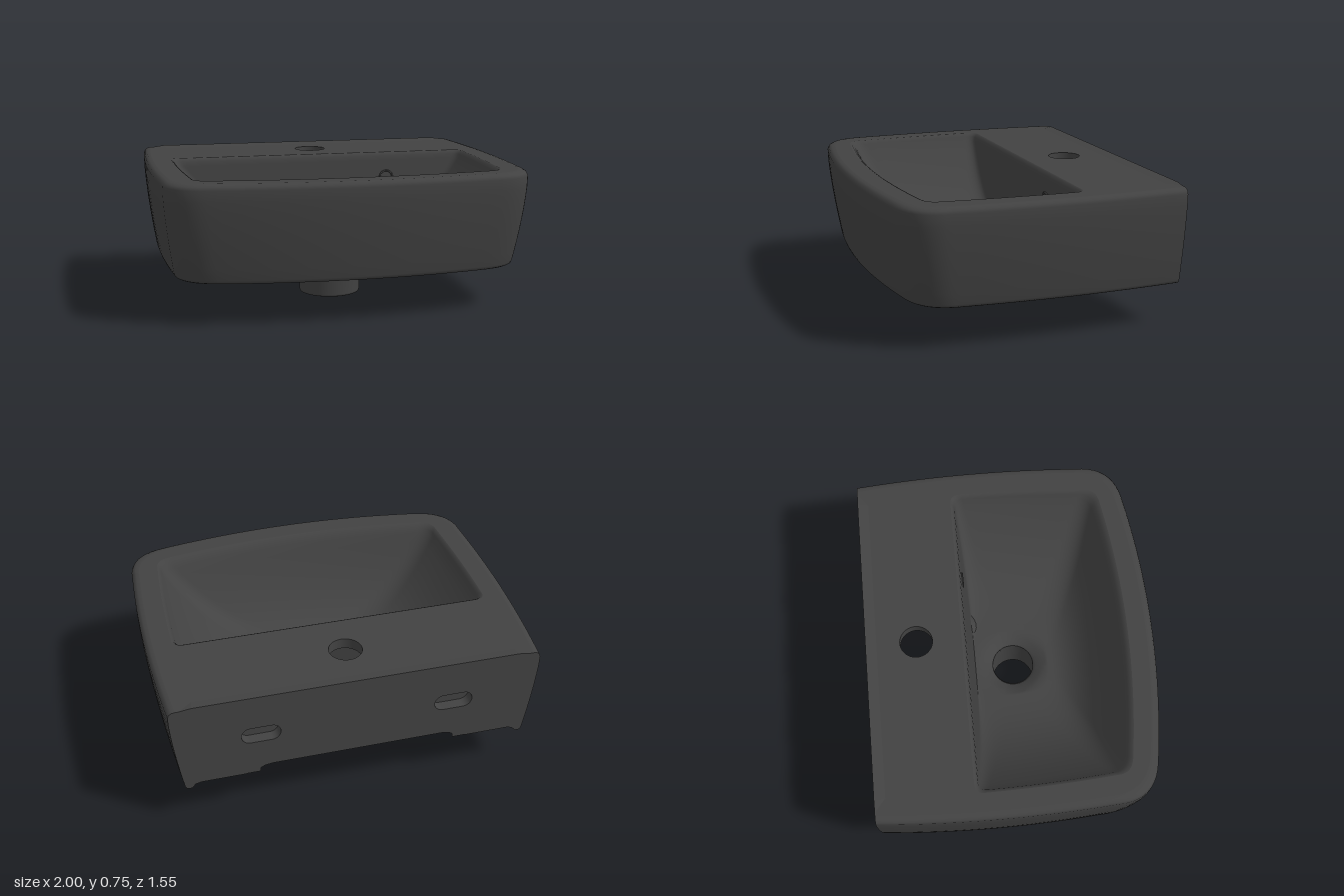
import * as THREE from 'three';
import { ConvexGeometry } from 'three/addons/geometries/ConvexGeometry.js';

const glaze = new THREE.MeshStandardMaterial({ color: 0x424242, side: THREE.DoubleSide });
glaze.name = 'dark glaze';

const DRAIN_Z = 0.02;

function part(group, name, geometry) {
  const mesh = new THREE.Mesh(geometry, glaze);
  mesh.name = name;
  group.add(mesh);
  return mesh;
}

// Plan outline (x, z): straight back, bowed sides, rounded front corners, bowed front.
// An open outline leaves out the back edge.
function outline({ wB, wM, wF, zb, zf, sag, rb, rf }, open = false) {
  const xe = wF - rf, ze = zf - sag, k = (2 * sag) / xe;
  const zc = ze - k * rf, zs = zc - rf;
  const path = new THREE.Path();
  path.moveTo(0, zb);
  path.lineTo(wB - rb, zb);
  path.quadraticCurveTo(wB, zb, wB, zb + rb);
  path.quadraticCurveTo(wM, (zb + rb + zs) / 2, wF, zs);
  path.quadraticCurveTo(wF, zc, xe, ze);
  path.quadraticCurveTo(xe / 2, zf, 0, zf);
  const counts = [8, 6, 12, 10, 12];
  const half = [];
  path.curves.forEach((c, i) => {
    if (open && i < 2) return;
    const pts = c.getPoints(counts[i]);
    half.push(...(half.length ? pts.slice(1) : pts));
  });
  const mirrored = half.slice(open ? 0 : 1, -1).reverse().map(p => new THREE.Vector2(-p.x, p.y));
  return [...half, ...mirrored];
}

const lift = (pts, y) => pts.map(p => new THREE.Vector3(p.x, y, p.y));

// Skin over a stack of rings with equal point counts.
function loft(rings, closed, flip = false) {
  const n = rings[0].length, index = [];
  for (let r = 0; r < rings.length - 1; r++) {
    for (let i = 0; i < (closed ? n : n - 1); i++) {
      const j = (i + 1) % n;
      const a = r * n + i, b = r * n + j, c = a + n, d = b + n;
      if (flip) index.push(a, b, c, b, d, c);
      else index.push(a, c, b, b, c, d);
    }
  }
  const g = new THREE.BufferGeometry().setFromPoints(rings.flat());
  g.setIndex(index);
  g.computeVertexNormals();
  return g;
}

// Horizontal plate with holes, its lower face at y.
function plate(pts, holes, y, depth) {
  const flat = list => list.map(p => new THREE.Vector2(p.x, -p.y));
  const shape = new THREE.Shape(flat(pts));
  holes.forEach(h => shape.holes.push(new THREE.Path(flat(h))));
  const g = new THREE.ExtrudeGeometry(shape, { depth, bevelEnabled: false });
  return g.rotateX(-Math.PI / 2).translate(0, y, 0);
}

const outer = (inset, open) => outline({
  wB: 0.97 - inset, wM: 1.026 - inset, wF: 0.978 - inset,
  zb: -0.775, zf: 0.775 - inset, sag: 0.067, rb: 0.002, rf: 0.2,
}, open);

const bowlOutline = (w, zb, zf, q) => outline({
  wB: w, wM: w, wF: w * 0.965, zb, zf, sag: 0.072 * w * q,
  rb: 0.05 + 0.09 * (1 - q), rf: 0.08 + 0.07 * (1 - q),
});

// Circle whose points line up by angle with a ring.
const circleLike = (pts, r) => pts.map(p => {
  const a = Math.atan2(p.y - DRAIN_Z, p.x);
  return new THREE.Vector2(r * Math.cos(a), DRAIN_Z + r * Math.sin(a));
});

// Bowl levels from rim to floor, grown by an offset for the underside.
function bowlRings(offset) {
  const rings = [];
  let last;
  for (let k = 0; k <= 18; k++) {
    const q = 1 - k / 18, u = Math.pow(q, 2.2);
    last = bowlOutline(0.2 + 0.63 * q + offset, -0.235 + 0.04 * (1 - u) - offset, 0.22 + 0.375 * q + offset, q);
    rings.push(lift(last, 0.29 + 0.41 * u - offset * 0.9));
  }
  return { rings, last };
}

export function createModel() {
  const basin = new THREE.Group();
  basin.name = 'washbasin';

  // Outer side and front wall: rounded rim, tapered face, bottom lip
  const face = [[0.04, 0.745], [0.022, 0.742], [0.008, 0.732], [0.001, 0.715]];
  for (let i = 1; i <= 8; i++) {
    face.push([0.055 * Math.pow(i / 8, 1.5), 0.715 - 0.47 * (i / 8)]);
  }
  face.push([0.06, 0.232], [0.07, 0.225]);
  const wall = [...face, [0.09, 0.225], [0.1, 0.235], [0.105, 0.262]];
  part(basin, 'outerWall', loft(wall.map(([d, y]) => lift(outer(d, true), y)), false, true));

  // Top deck with bowl opening and tap hole
  const opening = bowlOutline(0.86, -0.257, 0.637, 1);
  const tapHole = new THREE.Path().absarc(0, -0.503, 0.088, 0, Math.PI * 2).getPoints(48).slice(0, -1);
  part(basin, 'topDeck', plate(outer(0.04), [opening, tapHole], 0.685, 0.06));

  // Slight raised lip along the wall edge
  const lip = [];
  for (const s of [-1, 1]) {
    lip.push(new THREE.Vector3(s * 0.84, 0.744, -0.71), new THREE.Vector3(s * 0.92, 0.744, -0.775),
      new THREE.Vector3(s * 0.85, 0.754, -0.775));
  }
  part(basin, 'backLip', new ConvexGeometry(lip));

  // Bowl interior down to the drain
  const inside = bowlRings(0);
  part(basin, 'bowl', loft([
    lift(opening, 0.745),
    lift(bowlOutline(0.851, -0.248, 0.626, 1), 0.74),
    lift(bowlOutline(0.84, -0.239, 0.611, 1), 0.725),
    ...inside.rings,
    lift(circleLike(inside.last, 0.185), 0.287),
    lift(circleLike(inside.last, 0.16), 0.27),
    lift(circleLike(inside.last, 0.13), 0.254),
    lift(circleLike(inside.last, 0.115), 0.235),
  ], true, true));

  // Bowl underside
  const under = bowlRings(0.05);
  part(basin, 'bowlUnderside', loft([
    ...under.rings,
    lift(circleLike(under.last, 0.16), 0.235),
  ], true));

  // Bottom plate, recessed inside the lip and cut away around the bowl and pipework
  const recess = outline({ wB: 0.52, wM: 0.72, wF: 0.56, zb: -0.775, zf: 0.3, sag: 0.1, rb: 0.002, rf: 0.28 }, true);
  part(basin, 'bottomPlate', plate([...outer(0.1, true), ...recess.slice().reverse()], [], 0.256, 0.03));

  // Wall of the cutaway, rising to the bowl underside, or to the deck behind the bowl
  const recessTop = recess.map(p => {
    const rise = Math.pow(Math.max(0, Math.abs(p.x) - 0.25) / 0.63, 2.2);
    return new THREE.Vector3(p.x, p.y < -0.28 ? 0.69 : 0.262 + 0.41 * rise, p.y);
  }).map(p => (p.z < -0.715 ? p.setY(0.31) : p));
  part(basin, 'recessWall', loft([lift(recess, 0.256), recessTop], false));

  // Flared drain outlet with open bore
  const outletProfile = [
    [0.115, 0.25], [0.115, 0.012], [0.122, 0.002], [0.135, 0], [0.158, 0], [0.167, 0.004],
    [0.17, 0.014], [0.173, 0.12], [0.18, 0.165], [0.2, 0.195], [0.245, 0.213], [0.34, 0.235],
  ].map(p => new THREE.Vector2(...p));
  part(basin, 'drainOutlet', new THREE.LatheGeometry(outletProfile, 56)).position.z = DRAIN_Z;

  // Overflow channel behind the bowl, bending into the outlet
  const channel = new THREE.CatmullRomCurve3([
    [0.4, 0.6, -0.36], [0.345, 0.45, -0.35], [0.275, 0.32, -0.295],
    [0.24, 0.225, -0.235], [0.195, 0.155, -0.185], [0.11, 0.125, -0.09],
  ].map(p => new THREE.Vector3(...p)));
  part(basin, 'overflowChannel', new THREE.TubeGeometry(channel, 40, 0.093, 28));

  // Overflow opening rim on the bowl's back wall
  const ring = part(basin, 'overflowRim', new THREE.TorusGeometry(0.038, 0.005, 8, 32));
  ring.position.set(0.4, 0.6, -0.226);

  // Back panel with stepped lower edge and two mounting slots
  const side = face.map(([d, y]) => [0.97 - d, y]);
  side.push([0.88, 0.225], [0.86, 0.248], [0.83, 0.256], [0.6, 0.256], [0.55, 0.265], [0.5, 0.292], [0.46, 0.3]);
  const panel = new THREE.Shape([
    ...side.map(([x, y]) => new THREE.Vector2(x, y)),
    ...side.slice().reverse().map(([x, y]) => new THREE.Vector2(-x, y)),
  ]);
  for (const s of [-1, 1]) {
    const slot = new THREE.Path();
    slot.absarc(s * 0.51 + 0.055, 0.51, 0.047, -Math.PI / 2, Math.PI / 2, false);
    slot.absarc(s * 0.51 - 0.055, 0.51, 0.047, Math.PI / 2, Math.PI * 1.5, false);
    slot.closePath();
    panel.holes.push(slot);

    // Blind end of each slot
    part(basin, 'slotBack', new THREE.BoxGeometry(0.24, 0.13, 0.03)).position.set(s * 0.51, 0.51, -0.7);
  }
  const back = new THREE.ExtrudeGeometry(panel, { depth: 0.06, bevelEnabled: false, curveSegments: 16 });
  part(basin, 'backPanel', back.translate(0, 0, -0.775));

  return basin;
}
